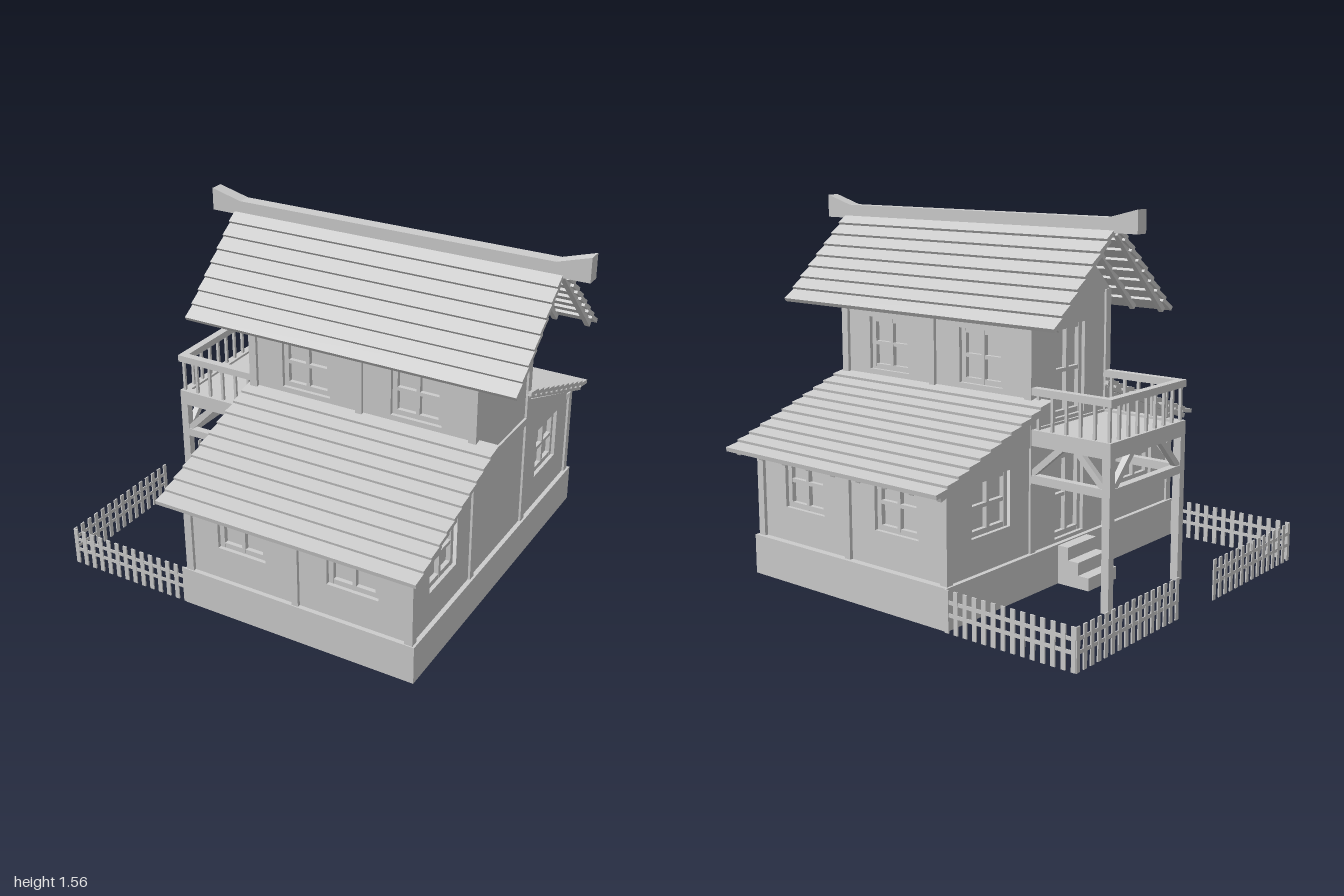
import * as THREE from 'three';

const stone = new THREE.MeshStandardMaterial({ color: 0xcccccc });
stone.name = 'lightGrey';

// Box given by its min and max corners
function box(parent, name, x0, x1, y0, y1, z0, z1) {
  const m = new THREE.Mesh(new THREE.BoxGeometry(x1 - x0, y1 - y0, z1 - z0), stone);
  m.position.set((x0 + x1) / 2, (y0 + y1) / 2, (z0 + z1) / 2);
  m.name = name;
  parent.add(m);
  return m;
}

// Square beam between two points
function beam(parent, name, a, b, w) {
  const p = new THREE.Vector3(...a), q = new THREE.Vector3(...b);
  const m = new THREE.Mesh(new THREE.BoxGeometry(w, w, p.distanceTo(q)), stone);
  m.position.copy(p).add(q).multiplyScalar(0.5);
  m.lookAt(q);
  m.name = name;
  parent.add(m);
}

function group(parent, name, x = 0, y = 0, z = 0, turn = 0) {
  const g = new THREE.Group();
  g.name = name;
  g.position.set(x, y, z);
  g.rotation.y = turn;
  parent.add(g);
  return g;
}

const outline = (pts) => pts.map(([x, y]) => new THREE.Vector2(x, y));

function plate(parent, name, pts, holes, front, depth) {
  const shape = new THREE.Shape(outline(pts));
  for (const [x0, x1, y0, y1] of holes)
    shape.holes.push(new THREE.Path(outline([[x0, y0], [x0, y1], [x1, y1], [x1, y0]])));
  const geo = new THREE.ExtrudeGeometry(shape, { depth, bevelEnabled: false });
  geo.translate(0, 0, front - depth);
  const m = new THREE.Mesh(geo, stone);
  m.name = name;
  parent.add(m);
}

// Wall with recessed, cross-barred openings; outer face at local z = 0
function wall(parent, name, pts, holes = []) {
  plate(parent, name, pts, holes, 0, 0.04);
  for (const [x0, x1, y0, y1] of holes) {
    const w = group(parent, 'window'), cx = (x0 + x1) / 2, cy = (y0 + y1) / 2, t = 0.022;
    box(w, 'pane', x0, x1, y0, y1, -0.045, -0.036);
    for (const [a, b] of [[x0, x0 + t], [cx - 0.008, cx + 0.008], [x1 - t, x1]])
      box(w, 'upright', a, b, y0, y1, -0.036, -0.016);
    for (const [a, b] of [[y0, y0 + t], [cy - 0.008, cy + 0.008], [y1 - t, y1]])
      box(w, 'crossbar', x0, x1, a, b, -0.036, -0.017);
  }
}

const rect = (x0, x1, y0, y1) => [[x0, y0], [x1, y0], [x1, y1], [x0, y1]];

// One slope of overlapping boards on rafters, falling towards +z
function roofSlope(parent, name, x, width, [z0, y0], [z1, y1], n) {
  const g = group(parent, name, x);
  const angle = Math.atan2(y0 - y1, z1 - z0);
  const pitch = Math.hypot(z1 - z0, y1 - y0) / n;
  for (let i = 0; i < n; i++) {
    const t = (i + 0.5) / n;
    const b = new THREE.Mesh(new THREE.BoxGeometry(width, 0.018, pitch * 1.25), stone);
    b.position.set(0, y0 + (y1 - y0) * t, z0 + (z1 - z0) * t);
    b.rotation.x = angle - 0.17;
    b.name = 'roofBoard';
    g.add(b);
  }
  const count = Math.round(width / 0.15), dy = -0.022;
  for (let i = 0; i <= count; i++) {
    const rx = (i / count - 0.5) * (width - 0.05);
    beam(g, 'rafter', [rx, y0 + dy, z0 + 0.01],
      [rx, y1 + dy + 0.02 * Math.tan(angle), z1 - 0.03], 0.022);
  }
}

export function createModel() {
  const model = new THREE.Group();
  model.name = 'house';
  const house = group(model, 'building', 0.145);

  box(house, 'foundation', -0.54, 0.54, 0, 0.17, -0.8, 0.79);

  // Front and back: walls, posts and lean-to roofs mirrored by a half turn
  for (const [side, turn] of [['front', 0], ['back', Math.PI]]) {
    const f = group(house, side + 'Side', 0, 0, 0, turn);
    const windows = (y0, y1) => [-0.2575, 0.2575].map((c) => [c - 0.115, c + 0.115, y0, y1]);
    wall(group(f, 'lowerWall', 0, 0, 0.77), 'wallPanel', rect(-0.52, 0.52, 0.17, 0.58), windows(0.315, 0.545));
    wall(group(f, 'upperWall', 0, 0, 0.26), 'wallPanel', rect(-0.52, 0.52, 0.6, 1.2), windows(0.83, 1.06));
    for (const [a, b] of [[-0.53, -0.495], [-0.015, 0.015], [0.495, 0.53]]) {
      box(f, 'lowerPost', a, b, 0.17, 0.58, 0.75, 0.785);
      box(f, 'upperPost', a, b, a === -0.015 ? 0.6 : 0.17, 1.2, 0.24, 0.275);
    }
    box(f, 'wallPlate', -0.525, 0.525, 0.55, 0.58, 0.74, 0.782);
    roofSlope(f, 'leanToRoof', 0.035, 1.16, [0.25, 0.805], [0.925, 0.562], 11);
    roofSlope(f, 'mainRoof', 0, 1.49, [0.012, 1.478], [0.402, 1.118], 8);
  }

  // Right and left ends
  for (const s of [1, -1]) {
    const e = group(house, s > 0 ? 'plainEnd' : 'balconyEnd', s * 0.52, 0, 0, s * Math.PI / 2);
    const doors = s > 0 ? [] : [[-0.1, 0.1, 0.185, 0.54], [-0.1, 0.1, 0.7, 1.08]];
    wall(e, 'towerWall', rect(-0.26, 0.26, 0.17, 1.2), doors);
    plate(e, 'gable', [[-0.275, 1.2], [0.275, 1.2], [0, 1.462]], [], 0.005, 0.04);
    box(e, 'floorBeam', -0.24, 0.24, 0.65, 0.685, -0.02, 0.01);
    for (const k of [1, -1]) {
      const hole = [0.395, 0.63].map((v) => v * k).sort((a, b) => a - b);
      wall(e, 'wingWall', [[k * 0.26, 0.17], [k * 0.77, 0.17], [k * 0.77, 0.585], [k * 0.26, 0.765]],
        [[...hole, 0.315, 0.545]]);
      plate(e, 'wingGable', [[k * 0.275, 0.61], [k * 0.69, 0.61], [k * 0.275, 0.76]], [], 0.008, 0.02);
    }
  }

  // Ridge beam with upswept ends
  plate(house, 'ridge', [[-0.855, 1.46], [0.855, 1.46], [0.855, 1.562], [0.715, 1.52],
    [-0.715, 1.52], [-0.855, 1.556]], [], 0.03, 0.06);

  // Balcony
  const bal = group(model, 'balcony');
  box(bal, 'deck', -0.755, -0.37, 0.635, 0.675, -0.262, 0.262);
  for (const [y0, y1, label] of [[0.62, 0.685, 'fascia'], [0.825, 0.855, 'handrail'], [0.465, 0.5, 'tieBeam']]) {
    box(bal, label, -0.765, -0.73, y0, y1, -0.272, 0.272);
    for (const s of [1, -1]) box(bal, label, -0.73, -0.375, y0, y1, s * 0.255 - 0.017, s * 0.255 + 0.017);
  }
  const baluster = (x, z) => box(bal, 'baluster', x - 0.006, x + 0.006, 0.68, 0.83, z - 0.006, z + 0.006);
  for (let i = 0; i <= 8; i++) baluster(-0.748, -0.255 + i * 0.06375);
  for (const s of [1, -1]) {
    const z = s * 0.255;
    for (let i = 1; i <= 5; i++) baluster(-0.748 + i * 0.068, z);
    box(bal, 'supportPost', -0.765, -0.73, 0, 0.63, z - 0.017, z + 0.017);
    beam(bal, 'brace', [-0.74, 0.49, z], [-0.6, 0.63, z], 0.026);
    beam(bal, 'brace', [-0.38, 0.5, z], [-0.53, 0.63, z], 0.026);
    beam(bal, 'brace', [-0.748, 0.49, s * 0.24], [-0.748, 0.63, s * 0.1], 0.026);
  }

  // Door steps
  for (let i = 0; i < 3; i++)
    box(model, 'step', -0.55 + i * 0.052, -0.38, i * 0.055, (i + 1) * 0.055, -0.1, 0.1);

  // Picket fence, one run at a time
  function fence(x0, z0, x1, z1) {
    const len = Math.hypot(x1 - x0, z1 - z0), n = Math.round(len / 0.043);
    const g = group(model, 'fence', x0, 0, z0, Math.atan2(z0 - z1, x1 - x0));
    for (let i = 0; i < n; i++) {
      const x = (i * (len - 0.02)) / (n - 1);
      box(g, 'picket', x, x + 0.02, 0, 0.17, -0.003, 0.003);
    }
    for (const y of [0.065, 0.115]) box(g, 'fenceRail', 0, len, y, y + 0.015, -0.002, 0.002);
  }
  fence(-0.997, 0.785, -0.39, 0.785);
  fence(-0.997, 0.785, -0.997, 0.13);
  fence(-0.997, -0.135, -0.997, -0.805);
  fence(-0.997, -0.805, -0.39, -0.805);

  return model;
}
